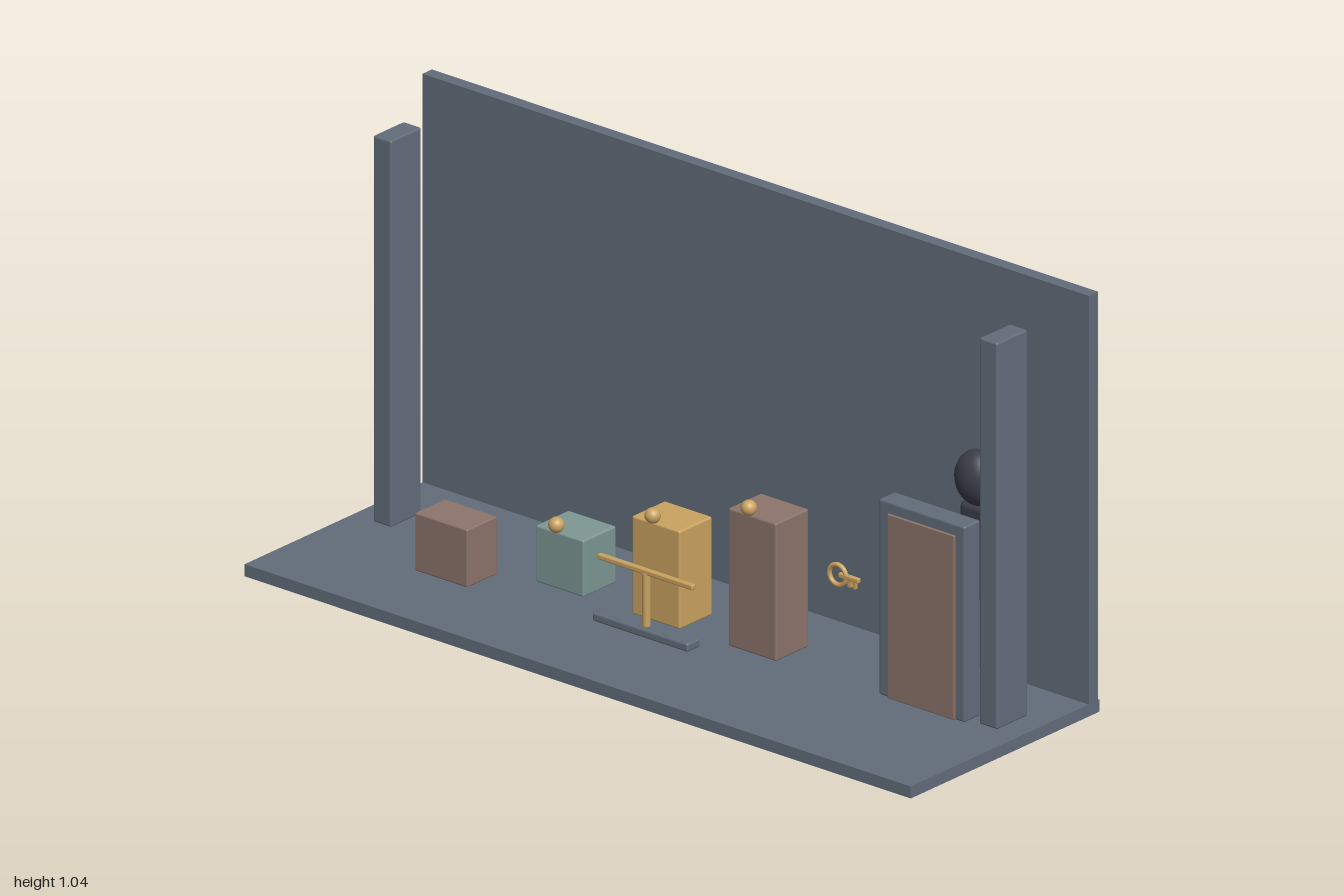
import * as THREE from 'three';
import { RoundedBoxGeometry } from 'three/addons/geometries/RoundedBoxGeometry.js';

const mat = (name, color) => {
  const m = new THREE.MeshStandardMaterial({ color });
  m.name = name;
  return m;
};

export function createModel() {
  const slate = mat('slate', 0x626d7b);
  const brown = mat('dusty brown', 0x8c746b);
  const teal = mat('muted teal', 0x7d9893);
  const gold = mat('gold', 0xcba361);
  const dark = mat('charcoal', 0x3c3f4a);

  const root = new THREE.Group();
  root.name = 'stageSet';
  const add = (name, geometry, material, x, y, z, parent = root) => {
    const mesh = new THREE.Mesh(geometry, material);
    mesh.name = name;
    mesh.position.set(x, y, z);
    parent.add(mesh);
    return mesh;
  };
  // Box given by its limits on each axis, with optional softened edges
  const box = (name, material, [x0, x1], [y0, y1], [z0, z1], r = 0, parent = root) => {
    const size = [x1 - x0, y1 - y0, z1 - z0];
    const g = r ? new RoundedBoxGeometry(...size, 2, r) : new THREE.BoxGeometry(...size);
    return add(name, g, material, (x0 + x1) / 2, (y0 + y1) / 2, (z0 + z1) / 2, parent);
  };
  const group = (name) => {
    const g = new THREE.Group();
    g.name = name;
    root.add(g);
    return g;
  };

  // Floor, back wall and pillars
  box('floor', slate, [-1, 1], [0, 0.03], [-0.333, 0.333]);
  box('backWall', slate, [-1, 1], [0.03, 1.045], [-0.328, -0.295]);
  for (const s of [-1, 1]) {
    box(s < 0 ? 'rightPillar' : 'leftPillar', slate,
      [s * 0.91 - 0.027, s * 0.91 + 0.027], [0.03, 0.99], [-0.154, -0.046], 0.005);
  }

  // Crate and the three knobbed chests
  box('crate', brown, [-0.68, -0.522], [0.03, 0.174], [0.002, 0.109], 0.004);
  const chests = [[-0.337, 0.183, teal], [-0.048, 0.286, gold], [0.241, 0.385, brown]];
  for (const [x, top, material] of chests) {
    const chest = group('chest');
    box('chestBody', material, [x - 0.072, x + 0.072], [0.042, top], [-0.115, 0.001], 0.005, chest);
    add('chestKnob', new THREE.SphereGeometry(0.019, 20, 14), gold, x, top + 0.024, 0.012, chest);
  }

  // Balance: base bar, post and beam
  const balance = group('balance');
  box('balanceBase', slate, [-0.145, 0.141], [0.053, 0.074], [0.065, 0.111], 0.005, balance);
  add('balancePost', new THREE.CylinderGeometry(0.01, 0.01, 0.132, 16), gold, -0.002, 0.139, 0.088, balance);
  box('balanceBeam', gold, [-0.145, 0.141], [0.201, 0.215], [0.081, 0.095], 0.004, balance);

  // Floating key: ring, shaft and two teeth
  const key = group('key');
  add('keyRing', new THREE.TorusGeometry(0.025, 0.006, 10, 24), gold, 0.57, 0.357, 0.085, key);
  box('keyShaft', gold, [0.575, 0.635], [0.353, 0.365], [0.079, 0.091], 0.003, key);
  for (const x of [0.607, 0.622]) {
    box('keyTooth', gold, [x - 0.004, x + 0.004], [0.337, 0.355], [0.081, 0.089], 0, key);
  }

  // Door in its frame
  const door = group('door');
  box('doorFrame', slate, [0.596, 0.854], [0.03, 0.516], [-0.085, -0.029], 0.005, door);
  box('doorPanel', brown, [0.624, 0.826], [0.03, 0.488], [-0.045, -0.024], 0.003, door);

  // Shadowy figure behind the door
  const figure = group('figure');
  box('figureBody', dark, [0.733, 0.818], [0.277, 0.512], [-0.193, -0.147], 0.015, figure);
  add('figureHead', new THREE.SphereGeometry(1, 24, 16), dark, 0.775, 0.573, -0.169, figure)
    .scale.set(0.06, 0.068, 0.047);

  return root;
}
